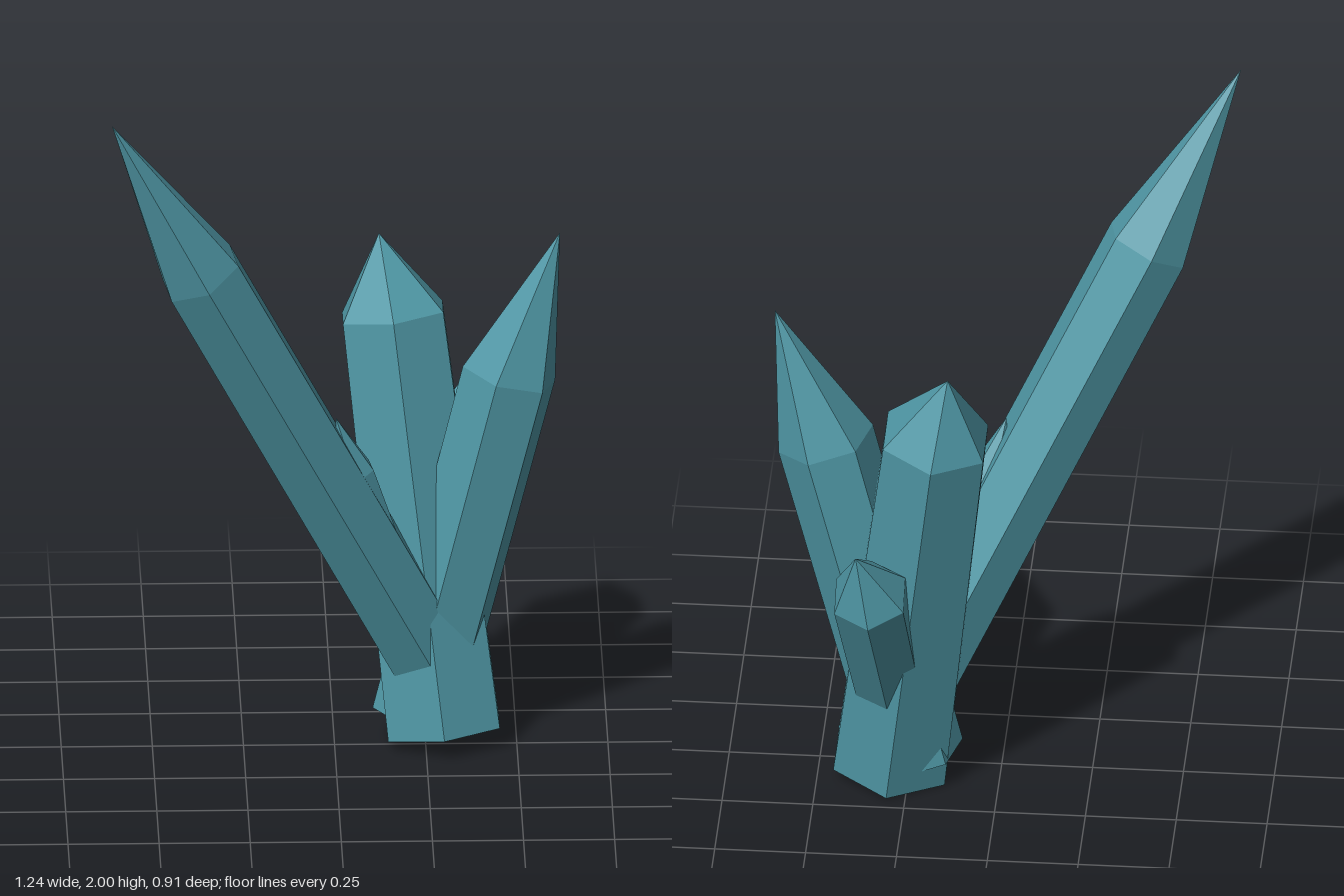
import * as THREE from 'three';

const teal = new THREE.MeshStandardMaterial({ color: 0x4f97a5 });
teal.name = 'teal crystal';

// Six-sided crystal: a prism from base to shoulder, closed by a pointed cap
function crystal({ name, base, shoulder, tip, r0, r1, spin }) {
  const start = new THREE.Vector3(...base);
  const axis = new THREE.Vector3(...shoulder).sub(start);
  const length = axis.length();
  const turn = new THREE.Quaternion().setFromUnitVectors(
    new THREE.Vector3(0, 1, 0), axis.normalize());
  const point = new THREE.Vector3(...tip).sub(start)
    .applyQuaternion(turn.clone().invert());

  const profile = [[0, 0], [r0, 0], [r1, length], [0, point.y]]
    .map(([x, y]) => new THREE.Vector2(x, y));
  const lathe = new THREE.LatheGeometry(profile, 6, THREE.MathUtils.degToRad(spin));

  // Shift the apex to its slightly off-axis tip
  const pos = lathe.attributes.position;
  for (let i = 0; i < pos.count; i++) {
    if (i % 4 === 3) pos.setXYZ(i, point.x, point.y, point.z);
  }

  // Separate the faces for hard facets
  const geometry = lathe.toNonIndexed();
  geometry.computeVertexNormals();
  const mesh = new THREE.Mesh(geometry, teal);
  mesh.name = name;
  mesh.position.copy(start);
  mesh.quaternion.copy(turn);
  return mesh;
}

const crystals = [
  { name: 'mainCrystal', base: [0.30, 0.036, -0.035], shoulder: [0.165, 1.19, -0.215],
    tip: [0.128, 1.405, -0.263], r0: 0.178, r1: 0.16, spin: 0 },
  { name: 'longRightCrystal', base: [0.345, 0.08, -0.075], shoulder: [-0.375, 1.51, 0.31],
    tip: [-0.622, 2.0, 0.457], r0: 0.12, r1: 0.12, spin: 8 },
  { name: 'leftCrystal', base: [0.228, 0.07, -0.06], shoulder: [0.48, 1.07, -0.055],
    tip: [0.62, 1.48, -0.057], r0: 0.13, r1: 0.135, spin: -17 },
  { name: 'backCrystal', base: [0.28, 0.15, -0.03], shoulder: [0.335, 0.755, -0.355],
    tip: [0.368, 0.922, -0.432], r0: 0.1, r1: 0.11, spin: 0 },
  { name: 'smallFrontCrystal', base: [0.28, 0.15, 0.0], shoulder: [0.045, 0.85, 0.125],
    tip: [0.0, 1.025, 0.163], r0: 0.06, r1: 0.065, spin: 10 },
];

export function createModel() {
  const group = new THREE.Group();
  group.name = 'crystalCluster';
  for (const spec of crystals) group.add(crystal(spec));
  return group;
}
